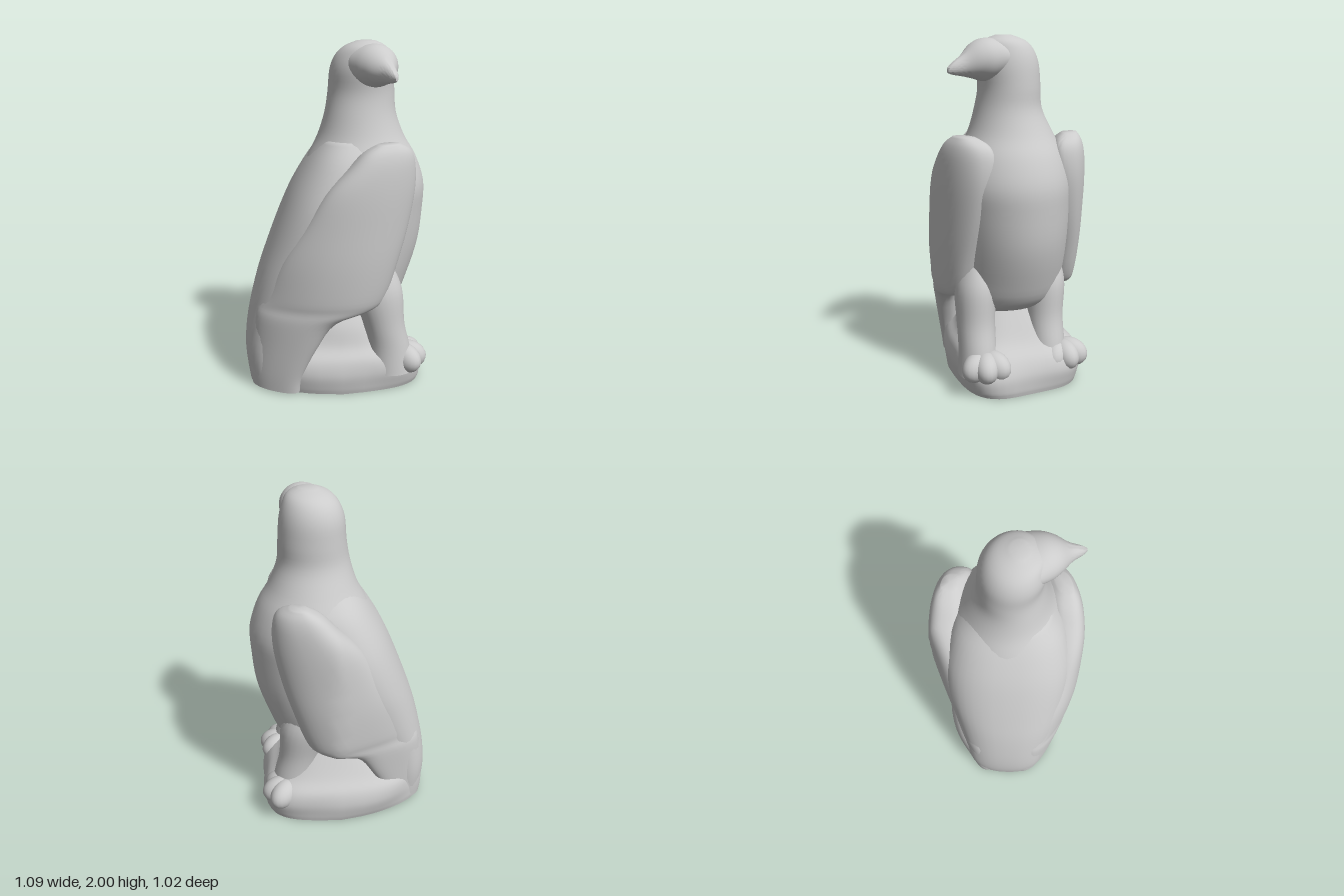
import * as THREE from 'three';
import { toCreasedNormals } from 'three/addons/utils/BufferGeometryUtils.js';

const material = new THREE.MeshStandardMaterial({ color: 0xcccccc, roughness: 0.8 });

function spline(a, b, c, d, t) {
  return b + 0.5 * t * (c - a + t * (2 * a - 5 * b + 4 * c - d + t * (3 * (b - c) + d - a)));
}

// Closed loft through rings [y, xMin, xMax, zMin, zMax], rising in y.
// power 2 is an ellipse, higher is boxier; warp moves each vertex by a rule.
function loft(rings, { power = 2, sides = 40, steps = 5, warp } = {}) {
  const rows = [];
  const last = rings.length - 1;
  for (let i = 0; i < last; i++) {
    const q = [-1, 0, 1, 2].map(k => rings[Math.min(last, Math.max(0, i + k))]);
    for (let s = 0; s < steps; s++) {
      rows.push(q[0].map((_, k) => spline(q[0][k], q[1][k], q[2][k], q[3][k], s / steps)));
    }
  }
  rows.push(rings[last]);
  const pos = [], idx = [], v = new THREE.Vector3();
  const add = (x, y, z) => {
    v.set(x, y, z);
    if (warp) warp(v);
    pos.push(v.x, v.y, v.z);
  };
  const round = c => Math.sign(c) * Math.abs(c) ** (2 / power);
  for (const [y, x0, x1, z0, z1] of rows) {
    for (let j = 0; j < sides; j++) {
      const a = (j / sides) * Math.PI * 2;
      add((x0 + x1) / 2 + (x1 - x0) / 2 * round(Math.cos(a)), y,
        (z0 + z1) / 2 + (z1 - z0) / 2 * round(Math.sin(a)));
    }
  }
  const top = rows.length - 1, n = rows.length * sides;
  for (const r of [rows[0], rows[top]]) add((r[1] + r[2]) / 2, r[0], (r[3] + r[4]) / 2);
  for (let j = 0; j < sides; j++) {
    const k = (j + 1) % sides;
    for (let i = 0; i < top; i++) {
      const a = i * sides, b = a + sides;
      idx.push(a + j, b + j, a + k, b + j, b + k, a + k);
    }
    idx.push(n, j, k, n + 1, top * sides + k, top * sides + j);
  }
  const geo = new THREE.BufferGeometry();
  geo.setAttribute('position', new THREE.Float32BufferAttribute(pos, 3));
  geo.setIndex(idx);
  return toCreasedNormals(geo, 1.0);
}

export function createModel() {
  const model = new THREE.Group();
  model.name = 'perchedEagle';
  // Built facing +x, then turned to its diagonal pose
  const bird = new THREE.Group();
  bird.name = 'eagleOnRock';
  bird.rotation.y = 0.585;
  model.add(bird);
  const part = (name, geo, parent = bird) => {
    const mesh = new THREE.Mesh(geo, material);
    mesh.name = name;
    parent.add(mesh);
    return mesh;
  };

  // Torso, neck and crown in one sweep
  part('body', loft([
    [0.42, 0.02, 0.22, -0.16, 0.20],
    [0.50, -0.20, 0.35, -0.27, 0.30],
    [0.65, -0.38, 0.42, -0.32, 0.34],
    [0.85, -0.38, 0.48, -0.33, 0.35],
    [1.05, -0.32, 0.50, -0.33, 0.36],
    [1.20, -0.25, 0.50, -0.32, 0.36],
    [1.35, -0.18, 0.45, -0.28, 0.32],
    [1.47, -0.12, 0.38, -0.22, 0.26],
    [1.60, -0.08, 0.33, -0.16, 0.22],
    [1.72, -0.06, 0.32, -0.15, 0.20],
    [1.84, -0.05, 0.31, -0.14, 0.21],
    [1.92, -0.02, 0.29, -0.11, 0.20],
    [1.97, 0.03, 0.26, -0.06, 0.18],
    [2.00, 0.10, 0.20, 0.02, 0.11],
  ], { steps: 4 }));

  // Back and tail, filling the space between the wings down to the ground
  part('backAndTail', loft([
    [0.01, -0.55, -0.25, -0.20, 0.26],
    [0.20, -0.57, -0.25, -0.22, 0.27],
    [0.40, -0.55, -0.15, -0.24, 0.29],
    [0.65, -0.49, 0.10, -0.30, 0.36],
    [0.85, -0.42, 0.20, -0.34, 0.39],
    [1.05, -0.34, 0.25, -0.35, 0.40],
    [1.20, -0.27, 0.28, -0.33, 0.38],
    [1.35, -0.18, 0.28, -0.28, 0.33],
    [1.46, -0.10, 0.24, -0.19, 0.25],
  ], { power: 2.4, steps: 4 }));

  // Face and hooked beak, turned to the side; swept along the gaze
  const face = loft([
    [-0.06, -1.94, -1.80, -0.08, 0.08],
    [0.06, -1.975, -1.78, -0.14, 0.14],
    [0.16, -1.985, -1.755, -0.13, 0.13],
    [0.23, -1.96, -1.77, -0.10, 0.10],
    [0.30, -1.90, -1.785, -0.05, 0.05],
    [0.36, -1.86, -1.795, -0.025, 0.025],
    [0.39, -1.835, -1.805, -0.008, 0.008],
  ]);
  face.rotateZ(-Math.PI / 2);
  const head = part('faceAndBeak', face);
  head.position.set(0.135, 0, 0.03);
  head.rotation.y = -1.27;

  // Folded wings, wrapping round the back and reaching to the ground
  const wing = [
    [0.01, -0.54, -0.27, 0.27, 0.41],
    [0.12, -0.55, -0.25, 0.27, 0.42],
    [0.30, -0.53, -0.17, 0.28, 0.43],
    [0.46, -0.51, -0.06, 0.28, 0.44],
    [0.53, -0.49, 0.16, 0.26, 0.44],
    [0.60, -0.45, 0.23, 0.25, 0.45],
    [0.80, -0.36, 0.30, 0.26, 0.46],
    [1.00, -0.24, 0.36, 0.26, 0.46],
    [1.20, -0.12, 0.40, 0.25, 0.46],
    [1.34, 0.01, 0.40, 0.24, 0.45],
    [1.42, 0.09, 0.37, 0.26, 0.43],
    [1.465, 0.17, 0.30, 0.31, 0.40],
  ];
  const wrapRight = v => { v.z -= 0.7 * v.x * v.x; };
  const wrapLeft = v => { v.z += v.x < 0 ? -0.42 * v.x : 0.6 * v.x * v.x; };
  part('rightWing', loft(wing, { power: 2.6, steps: 4, warp: wrapRight }));
  part('leftWing', loft(
    wing.map(([y, a, b, c, d]) => [y, a, b - 0.04, 0.02 - d, 0.02 - c]),
    { power: 2.6, steps: 4, warp: wrapLeft }));

  for (const side of [1, -1]) {
    // Feathered leg
    const z = side * 0.21 + 0.05;
    part(side > 0 ? 'rightLeg' : 'leftLeg', loft([
      [0.10, 0.14, 0.42, z - 0.12, z + 0.12],
      [0.25, 0.14, 0.39, z - 0.11, z + 0.11],
      [0.40, 0.11, 0.355, z - 0.11, z + 0.11],
      [0.60, 0.04, 0.34, z - 0.13, z + 0.11],
      [0.75, 0.02, 0.28, z - 0.10, z + 0.07],
    ], { sides: 24 }));

    // Foot: three thick, closely set toes
    const foot = new THREE.Group();
    foot.name = side > 0 ? 'rightFoot' : 'leftFoot';
    foot.position.set(side > 0 ? 0.32 : 0.29, 0.17, side * 0.23);
    bird.add(foot);
    for (const turn of [-0.75, 0, 0.75]) {
      const toe = new THREE.SphereGeometry(1, 20, 14);
      toe.scale(0.11, 0.085, 0.075);
      toe.rotateZ(-0.2);
      toe.translate(0.07, 0, 0);
      toe.rotateY(turn - side * 0.2);
      part('toe', toe, foot);
    }
  }

  // Lumpy rock, flat underneath, narrowing to the back and rising below the belly
  part('rock', loft([
    [0.00, -0.52, 0.47, -0.37, 0.37],
    [0.04, -0.53, 0.48, -0.38, 0.38],
    [0.12, -0.53, 0.48, -0.39, 0.39],
    [0.20, -0.50, 0.44, -0.37, 0.37],
    [0.27, -0.42, 0.36, -0.31, 0.31],
    [0.38, -0.28, 0.28, -0.24, 0.26],
    [0.50, -0.15, 0.20, -0.17, 0.19],
  ], {
    power: 3.2, sides: 56,
    warp: v => {
      const k = 1 + 0.035 * Math.sin(9 * v.x + 5 * v.y) * Math.cos(8 * v.z - 7 * v.y + 1);
      v.z *= k * (1 - 0.6 * Math.max(0, -v.x));
      v.x *= k;
    },
  }));
  return model;
}
